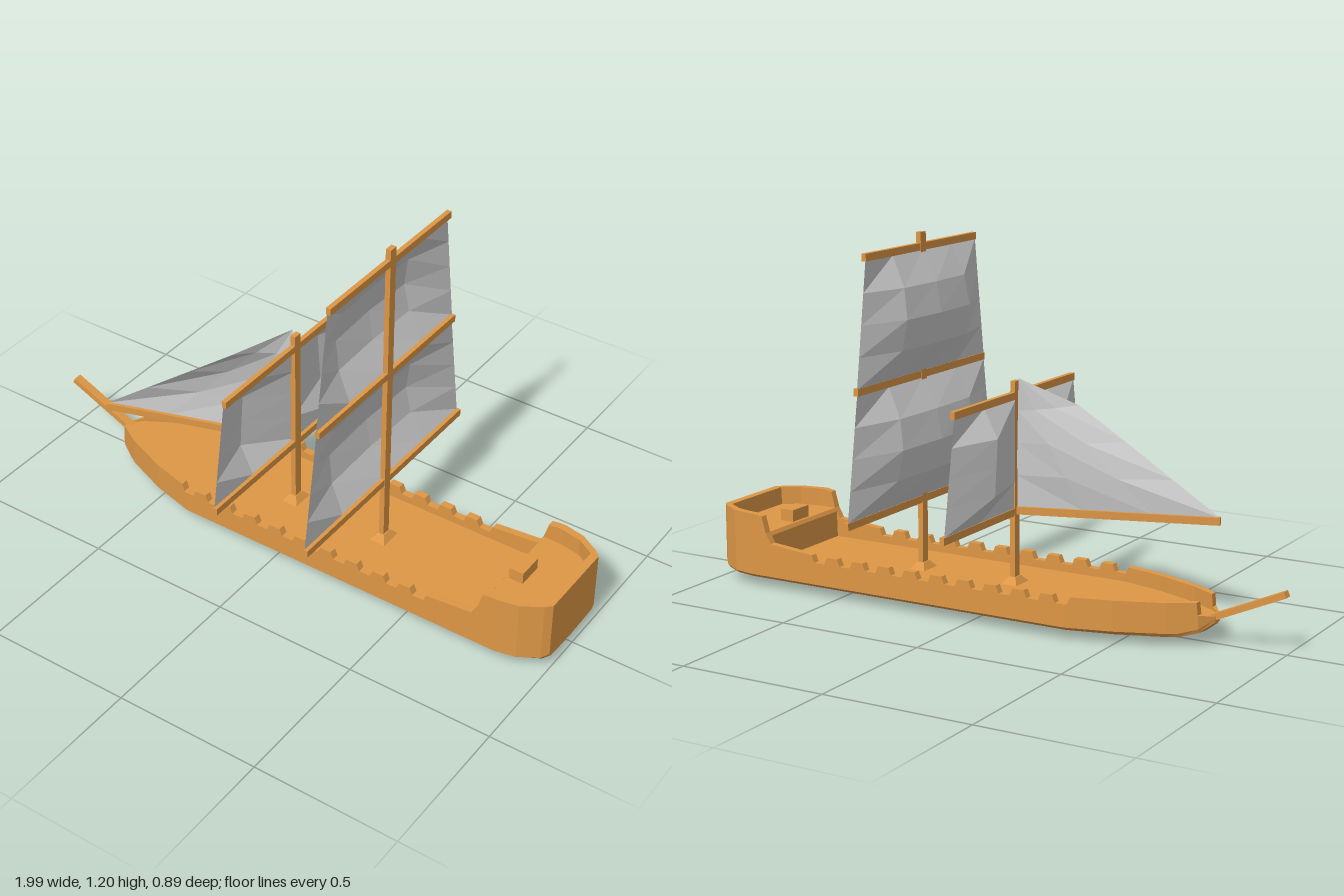
import * as THREE from 'three';

const wood = new THREE.MeshStandardMaterial({ color: 0xdd9746, flatShading: true });
const cloth = new THREE.MeshStandardMaterial({ color: 0xcccccc, flatShading: true, side: THREE.DoubleSide });
const V = (x, y, z) => new THREE.Vector3(x, y, z);

// Piecewise linear lookup in a list of [x, value] keys
function at(keys, x) {
  if (x <= keys[0][0]) return keys[0][1];
  for (let i = 1; i < keys.length; i++) {
    const [x0, a] = keys[i - 1], [x1, b] = keys[i];
    if (x <= x1) return a + (b - a) * (x - x0) / (x1 - x0);
  }
  return keys[keys.length - 1][1];
}

// Skin rows of points with flat faces; closed rows also get end caps
function skin(rows, closed) {
  const pos = [];
  const tri = (...pts) => pts.forEach(p => pos.push(p.x, p.y, p.z));
  const n = rows[0].length;
  for (let i = 0; i < rows.length - 1; i++) {
    for (let j = 0; j < (closed ? n : n - 1); j++) {
      const k = (j + 1) % n;
      const a = rows[i][j], b = rows[i + 1][j], c = rows[i + 1][k], d = rows[i][k];
      tri(a, b, c);
      tri(a, c, d);
    }
  }
  if (closed) {
    [rows[0], rows[rows.length - 1]].forEach((row, end) => {
      const mid = row.reduce((s, p) => s.add(p), V(0, 0, 0)).divideScalar(n);
      row.forEach((p, j) => {
        const q = row[(j + 1) % n];
        if (end) tri(mid, q, p); else tri(mid, p, q);
      });
    });
  }
  const geo = new THREE.BufferGeometry();
  geo.setAttribute('position', new THREE.Float32BufferAttribute(pos, 3));
  geo.computeVertexNormals();
  return geo;
}

function add(parent, name, geo, mat = wood) {
  const mesh = new THREE.Mesh(geo, mat);
  mesh.name = name;
  parent.add(mesh);
  return mesh;
}

// Square timber between two points
function beam(parent, name, a, b, wide, high) {
  const mesh = add(parent, name, new THREE.BoxGeometry(wide, high, a.distanceTo(b)));
  mesh.position.copy(a).add(b).multiplyScalar(0.5);
  mesh.lookAt(b);
}

// Hull with bulwarks, decks and transom, lofted from bow to stern
function hullGeometry() {
  const width = [[-0.77, 0.018], [-0.735, 0.065], [-0.65, 0.115], [-0.5, 0.175], [-0.35, 0.214],
    [0.84, 0.214], [0.91, 0.2], [0.975, 0.16], [0.995, 0.14]];
  const keel = [[-0.77, 0.065], [-0.735, 0.038], [-0.68, 0.022], [-0.3, 0.008], [0, 0],
    [0.5, 0.003], [0.975, 0.024], [0.995, 0.035]];
  const deck = [[-0.77, 0.09], [0.765, 0.09], [0.768, 0.19]];
  const rail = [[-0.77, 0.09], [-0.734, 0.1], [-0.73, 0.14]];
  // Gun notches along the rail
  for (let i = 0; i < 10; i++) {
    const c = -0.34 + i * 0.1;
    rail.push([c - 0.03, 0.14], [c - 0.02, 0.116], [c + 0.02, 0.116], [c + 0.03, 0.14]);
  }
  rail.push([0.755, 0.155], [0.775, 0.19], [0.79, 0.245], [0.82, 0.25], [0.995, 0.25]);

  const stations = [...width, ...keel, ...deck, ...rail].map(k => k[0]).concat(0.966, 0.968);
  const xs = [...new Set(stations)].sort((a, b) => a - b);
  return skin(xs.map(x => {
    const w = at(width, x), b = at(keel, x), top = at(rail, x);
    const chine = Math.max(0.03, b + 0.006);
    const floor = x > 0.967 ? top : Math.min(at(deck, x), top);
    const inner = Math.max(w - 0.025, w * 0.6);
    const half = [[0.55 * w, b + 0.003], [0.92 * w, chine], [w, chine + 0.012], [w, top],
      [inner, top], [inner, floor]];
    return [V(x, b, 0), ...half.map(([z, y]) => V(x, y, z)), V(x, floor, 0),
      ...half.reverse().map(([z, y]) => V(x, y, -z))];
  }), true);
}

// Billowing square sail; across and up hold the bulge factors
function squareSail(parent, name, x, y0, y1, w0, w1, depth, across, up) {
  const us = [-1, -0.53, 0, 0.53, 1];
  const rows = up.map((f, i) => {
    const t = i / (up.length - 1);
    const w = THREE.MathUtils.lerp(w0, w1, t);
    return us.map((u, j) => V(x - depth * f * across[j], THREE.MathUtils.lerp(y0, y1, t), u * w));
  });
  add(parent, name, skin(rows, false), cloth);
}

function mast(parent, name, x, height, yards) {
  const g = new THREE.Group();
  g.name = name;
  parent.add(g);
  add(g, 'pole', new THREE.BoxGeometry(0.018, height - 0.08, 0.03)).position.set(x, (height + 0.08) / 2, 0);
  const collar = add(g, 'mastCollar', new THREE.CylinderGeometry(0.018, 0.042, 0.025, 4).rotateY(Math.PI / 4));
  collar.position.set(x, 0.1, 0);
  collar.scale.z = 1.4;
  for (const [y, half] of yards) {
    add(g, 'yard', new THREE.BoxGeometry(0.016, 0.024, half * 2)).position.set(x, y, 0);
  }
  return g;
}

export function createModel() {
  const ship = new THREE.Group();
  ship.name = 'sailingShip';

  add(ship, 'hull', hullGeometry());
  add(ship, 'sternHatch', new THREE.BoxGeometry(0.05, 0.05, 0.09)).position.set(0.81, 0.205, 0);
  beam(ship, 'bowsprit', V(-0.995, 0.19, 0), V(-0.735, 0.073, 0), 0.03, 0.02);

  // Main mast with two square sails
  const main = mast(ship, 'mainMast', 0.293, 1.2, [[0.326, 0.443], [0.74, 0.38], [1.153, 0.327]]);
  const full = [0, 0.88, 1, 0.88, 0], round = [0, 0.75, 1, 0.75, 0];
  squareSail(main, 'lowerMainSail', 0.288, 0.336, 0.73, 0.44, 0.38, 0.071, full, round);
  squareSail(main, 'upperMainSail', 0.288, 0.748, 1.143, 0.38, 0.325, 0.071, full, round);

  // Fore mast with a square sail in two lobes
  const fore = mast(ship, 'foreMast', -0.055, 0.75, [[0.326, 0.44], [0.703, 0.378]]);
  squareSail(fore, 'foreSail', -0.06, 0.336, 0.695, 0.435, 0.375, 0.053, [0, 1, 0, 1, 0], [0, 1, 1, 1, 0]);

  // Triangular sail on a boom swung to one side: belly one way, free edge curling the other
  const clew = V(-0.68, 0.34, 0.2), tack = V(-0.06, 0.34, 0), head = V(-0.07, 0.76, -0.005);
  beam(ship, 'boom', V(-0.05, 0.33, 0), V(-0.682, 0.33, 0.2), 0.022, 0.025);
  const curl = [0, 0.024, 0.048, 0.066, 0];
  const rows = curl.map((c, i) => [0, 0.33, 0.67, 1].map(u => {
    const v = i / 4;
    const p = clew.clone().lerp(tack, u).lerp(head, v);
    p.z += c * (1 - u) - 0.035 * Math.sin(Math.PI * u) * Math.sin(Math.PI * v);
    p.y += 0.2 * c * (1 - u);
    return p;
  }));
  add(ship, 'triangularSail', skin(rows, false), cloth);

  return ship;
}
